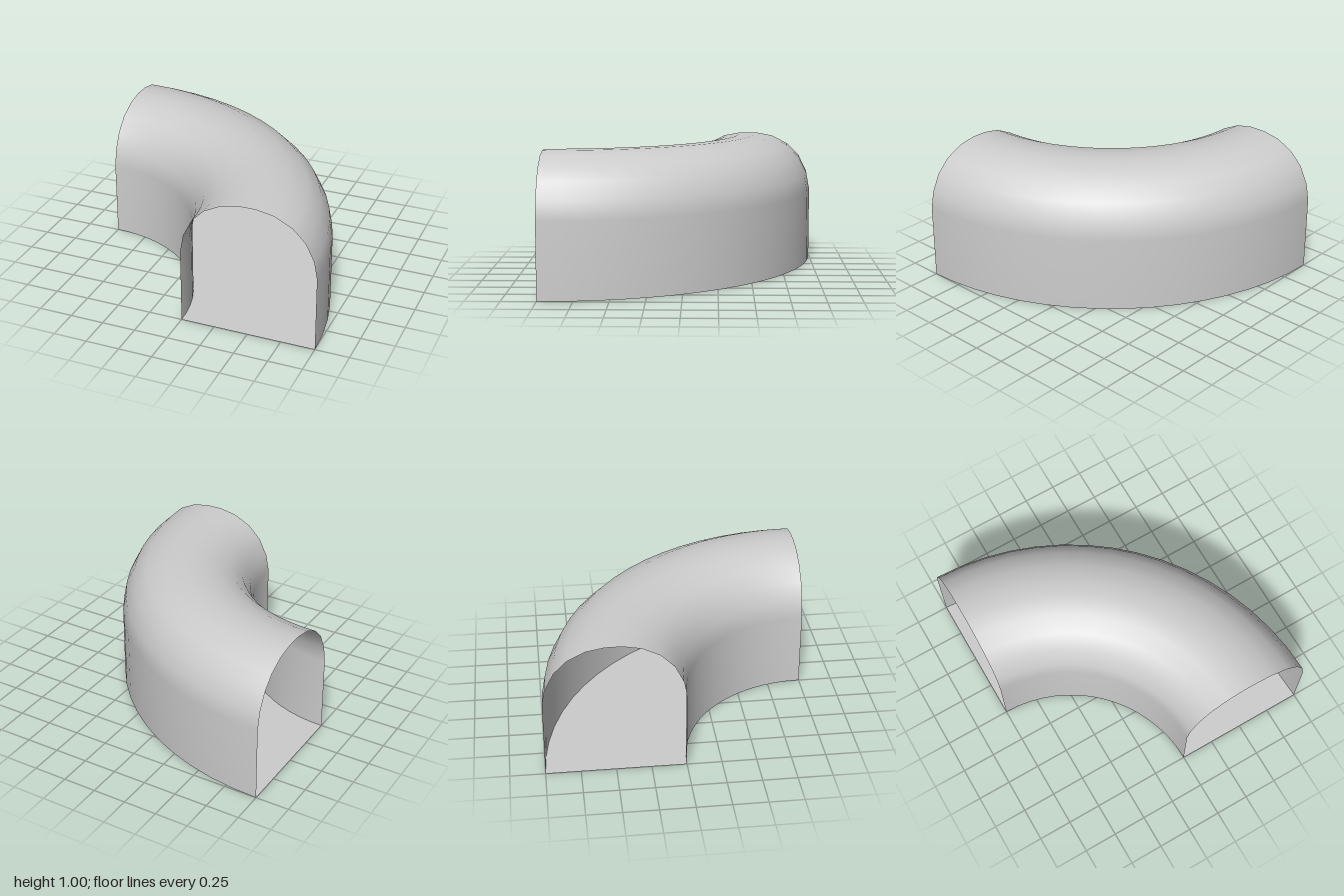
import * as THREE from 'three';

export function createModel() {
  const model = new THREE.Group();
  model.name = 'curvedTunnel';
  const plaster = new THREE.MeshStandardMaterial({ color: 0xcccccc, side: THREE.DoubleSide });
  plaster.name = 'light grey';

  const innerRadius = 1, outerRadius = 2, steps = 16;
  const middle = (innerRadius + outerRadius) / 2;

  // Half of the arched section, from the wall foot to the crown; mirrored for the other wall
  const half = [[0.5, 0], [0.5, 0.56], [0.476, 0.69], [0.412, 0.818], [0.318, 0.912], [0.19, 0.976], [0.06, 1]];
  const profile = [
    ...half.map(([x, y]) => new THREE.Vector2(middle + x, y)),
    ...half.slice().reverse().map(([x, y]) => new THREE.Vector2(middle - x, y)),
  ];

  // Walls and vault swept through a quarter turn, open at both ends
  const vault = new THREE.Mesh(
    new THREE.LatheGeometry(profile, steps, Math.PI / 2, Math.PI / 2), plaster);
  vault.name = 'vaultAndWalls';

  // Flat floor
  const floor = new THREE.Mesh(
    new THREE.RingGeometry(innerRadius, outerRadius, steps, 1, 0, Math.PI / 2).rotateX(-Math.PI / 2), plaster);
  floor.name = 'floor';

  // The bend turns about the front right corner
  for (const part of [vault, floor]) {
    part.position.set(-1, 0, 1);
    model.add(part);
  }
  return model;
}
